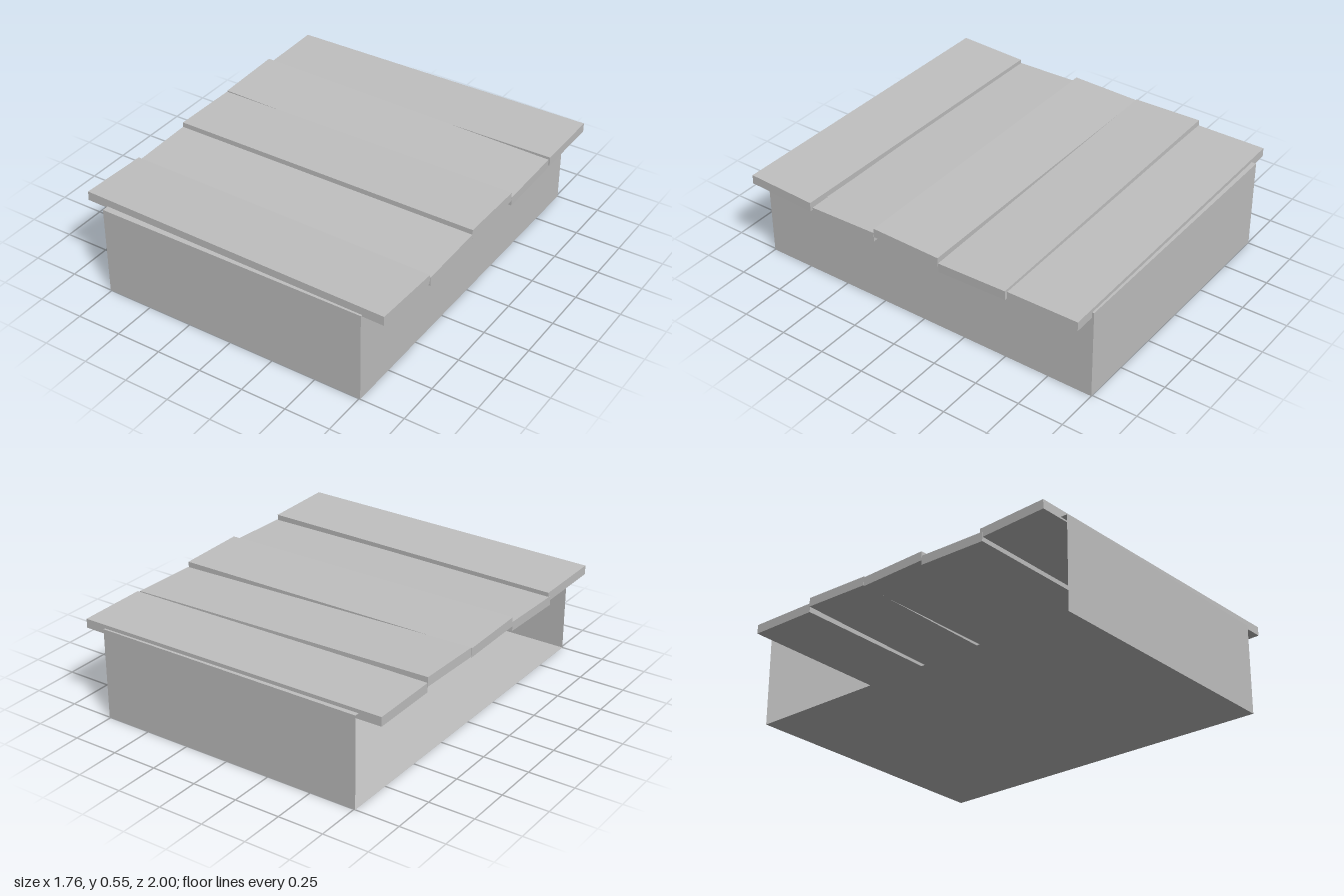
import * as THREE from 'three';

export function createModel() {
  const group = new THREE.Group();
  group.name = 'plankToppedBox';
  const grey = new THREE.MeshStandardMaterial({ color: 0xc0c0c0, side: THREE.DoubleSide });
  grey.name = 'plain grey';

  // Thin-walled body, open on the -x side
  const W = 1.514, H = 0.5, D = 2;
  const panel = (name, w, h, pos, rx, ry) => {
    const mesh = new THREE.Mesh(new THREE.PlaneGeometry(w, h), grey);
    mesh.name = name;
    mesh.position.set(...pos);
    mesh.rotation.set(rx, ry, 0);
    group.add(mesh);
  };
  panel('frontWall', W, H, [0, H / 2, D / 2], 0, 0);
  panel('backWall', W, H, [0, H / 2, -D / 2], 0, Math.PI);
  panel('sideWall', D, H, [W / 2, H / 2, 0], 0, Math.PI / 2);
  panel('floor', W, D, [0, 0, 0], Math.PI / 2, 0);
  panel('top', W, D, [0, H, 0], -Math.PI / 2, 0);

  // Loose lid planks: centre y, centre z, and slight tilts about x, y, z
  const planks = [
    [0.511, 0.781, -0.025, -0.017, 0],
    [0.487, 0.393, 0.025, 0, 0],
    [0.514, 0.002, -0.02, 0, 0],
    [0.503, -0.391, 0.025, 0, -0.02],
    [0.495, -0.787, 0, 0.01, 0],
  ];
  planks.forEach(([y, z, rx, ry, rz], i) => {
    const mesh = new THREE.Mesh(new THREE.BoxGeometry(1.757, 0.05, 0.39), grey);
    mesh.name = `lidPlank${i + 1}`;
    mesh.position.set(0, y, z);
    // Raised front edge needs a negative turn about x
    mesh.rotation.set(rx, ry, rz);
    group.add(mesh);
  });
  return group;
}
